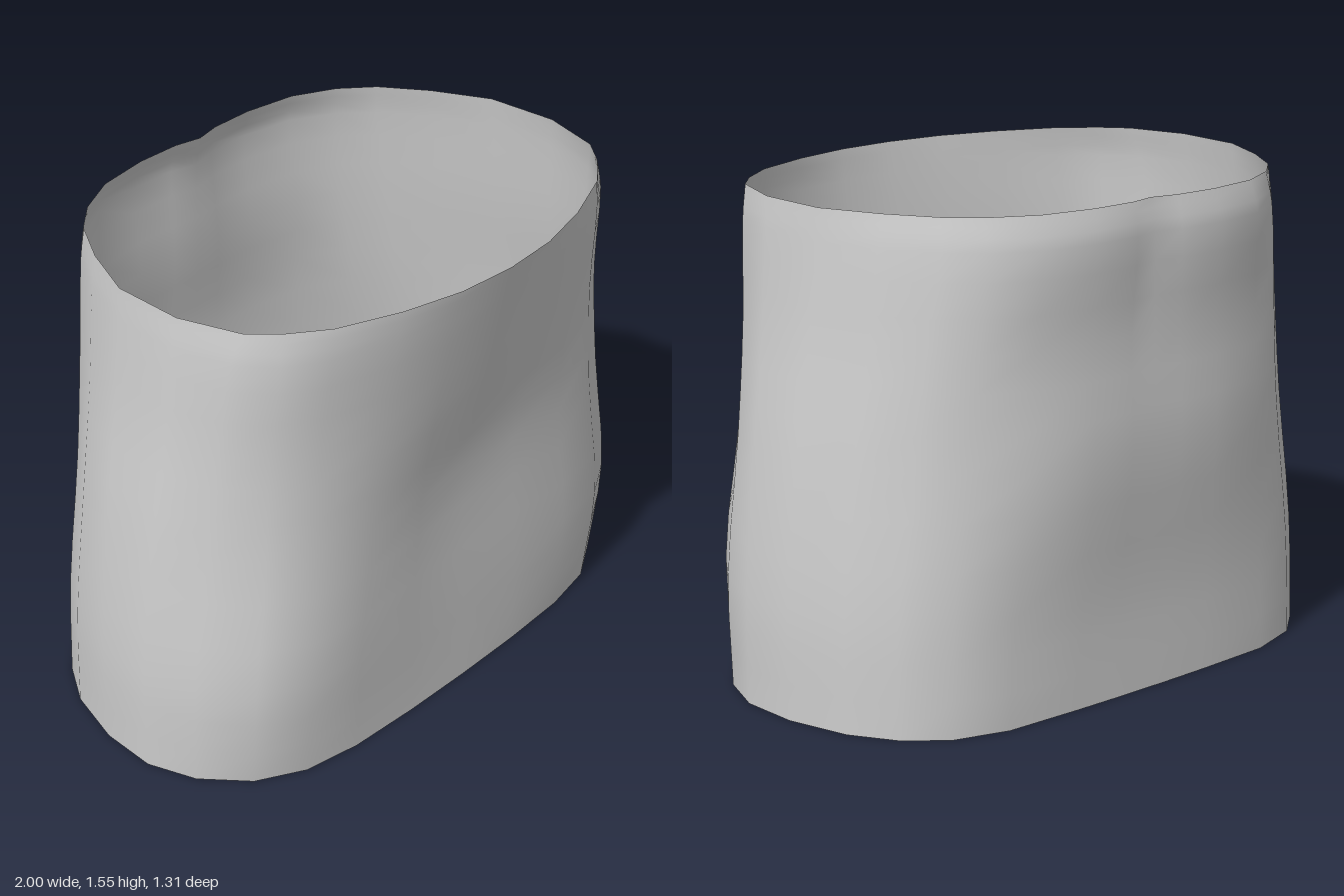
import * as THREE from 'three';

// Half cross-sections [x, z], from the front centre round the left side to the back centre
const hem = [[0, .525], [.25, .522], [.5, .51], [.69, .475], [.84, .39], [.95, .25], [1, .09],
  [.985, -.1], [.92, -.3], [.83, -.435], [.71, -.535], [.53, -.59], [.27, -.6], [.1, -.603], [0, -.603]];
const lowerHips = [[0, .515], [.25, .522], [.5, .527], [.7, .505], [.85, .42], [.95, .26], [.998, .09],
  [.985, -.1], [.915, -.29], [.82, -.425], [.695, -.53], [.51, -.595], [.26, -.608], [.1, -.608], [0, -.608]];
const hips = [[0, .505], [.22, .52], [.45, .525], [.65, .49], [.79, .41], [.89, .27], [.95, .1],
  [.94, -.1], [.865, -.28], [.755, -.425], [.64, -.525], [.46, -.62], [.25, -.65], [.1, -.652], [0, -.65]];
const middle = [[0, .575], [.21, .57], [.43, .545], [.63, .485], [.76, .405], [.85, .285], [.895, .12],
  [.885, -.1], [.81, -.285], [.71, -.435], [.6, -.54], [.45, -.605], [.25, -.637], [.1, -.637], [0, -.632]];
const upper = [[0, .635], [.21, .62], [.41, .58], [.61, .51], [.735, .43], [.82, .315], [.865, .13],
  [.85, -.1], [.775, -.29], [.67, -.45], [.575, -.545], [.43, -.625], [.25, -.655], [.09, -.65], [0, -.625]];
const rim = [[0, .655], [.2, .64], [.4, .59], [.6, .51], [.72, .42], [.79, .34], [.85, .14],
  [.84, -.1], [.755, -.29], [.66, -.44], [.56, -.53], [.42, -.6], [.24, -.628], [.09, -.626], [0, -.606]];

const sections = [[0, hem], [0.35, lowerHips], [0.8, hips], [1.15, middle], [1.45, upper], [1.55, rim]];
const STEPS = 3; // rings per section

// Mirror a half section into a closed ring
function fullRing(half) {
  const mirrored = half.slice(1, -1).reverse().map(([x, z]) => [-x, z]);
  return [...half, ...mirrored];
}

function tubeGeometry() {
  const rings = sections.map(([y, half]) => fullRing(half).map(([x, z]) => new THREE.Vector3(x, y, z)));
  const n = rings[0].length;
  const rows = (rings.length - 1) * STEPS;
  // One smooth curve runs up the wall through each ring point
  const columns = rings[0].map((_, i) =>
    new THREE.CatmullRomCurve3(rings.map(r => r[i]), false, 'centripetal'));
  const positions = [];
  const index = [];
  for (let j = 0; j <= rows; j++) {
    for (const column of columns) positions.push(...column.getPoint(j / rows).toArray());
  }
  for (let j = 0; j < rows; j++) {
    for (let i = 0; i < n; i++) {
      const a = j * n + i;
      const b = j * n + (i + 1) % n;
      index.push(a, b, b + n, a, b + n, a + n);
    }
  }
  const geometry = new THREE.BufferGeometry();
  geometry.setAttribute('position', new THREE.Float32BufferAttribute(positions, 3));
  geometry.setIndex(index);
  geometry.computeVertexNormals();
  return geometry;
}

export function createModel() {
  const group = new THREE.Group();
  group.name = 'openGarment';
  const fabric = new THREE.MeshStandardMaterial({ color: 0xcccccc, side: THREE.DoubleSide });
  fabric.name = 'light grey fabric';
  // Open tube of cloth, with no top or bottom
  const wall = new THREE.Mesh(tubeGeometry(), fabric);
  wall.name = 'fabricTube';
  group.add(wall);
  return group;
}
